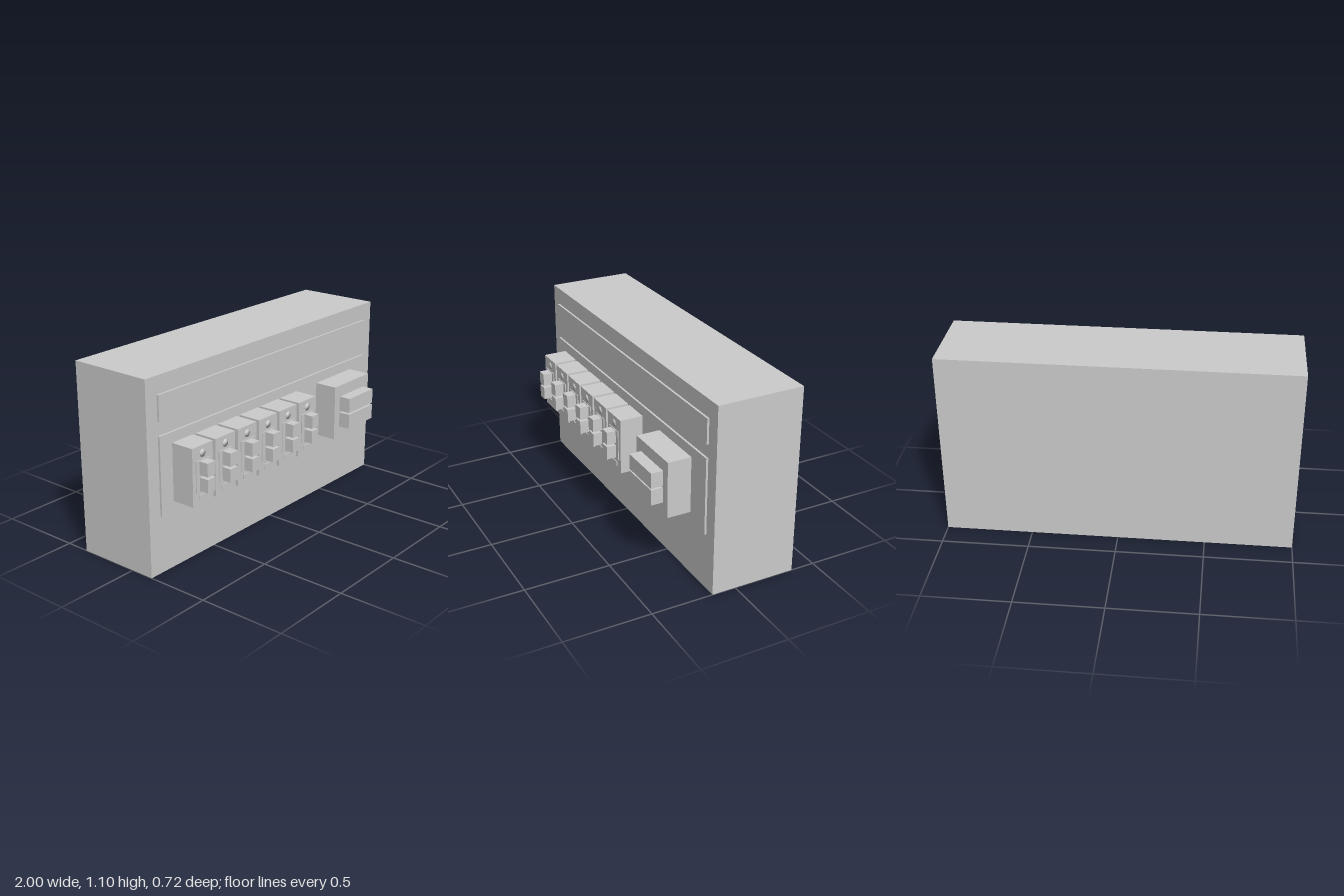
import * as THREE from 'three';

const material = new THREE.MeshStandardMaterial({ color: 0xcccccc });

// Box given by its limits on each axis
function block(parent, name, [x0, x1], [y0, y1], [z0, z1]) {
  const mesh = new THREE.Mesh(new THREE.BoxGeometry(x1 - x0, y1 - y0, z1 - z0), material);
  mesh.position.set((x0 + x1) / 2, (y0 + y1) / 2, (z0 + z1) / 2);
  mesh.name = name;
  parent.add(mesh);
  return mesh;
}

// Nearly flush lamp lens: flattened dome that keeps its rounded shading
function lampGeometry() {
  const geometry = new THREE.SphereGeometry(0.022, 24, 16);
  geometry.attributes.position.applyMatrix4(new THREE.Matrix4().makeScale(1, 1, 0.09));
  return geometry;
}

export function createModel() {
  const model = new THREE.Group();
  model.name = 'breakerPanel';
  const face = 0.14, plate = 0.152, front = 0.29;

  // Cabinet and its raised plates
  block(model, 'cabinet', [-1, 1], [0, 1.1], [-0.36, face]);
  block(model, 'headerPlate', [-0.92, 0.92], [0.855, 1.0], [face, plate]);
  block(model, 'breakerPlate', [-0.92, 0.92], [0.33, 0.777], [face, plate]);

  // Thin label strip standing just off the cabinet
  const strip = new THREE.Mesh(
    new THREE.PlaneGeometry(1.7, 0.058),
    new THREE.MeshStandardMaterial({ color: 0xcccccc, side: THREE.DoubleSide })
  );
  strip.name = 'labelStrip';
  strip.position.set(0, 0.203, 0.153);
  model.add(strip);

  // Row of six small breakers
  const lens = lampGeometry();
  for (let i = 0; i < 6; i++) {
    const breaker = new THREE.Group();
    breaker.name = 'breaker' + (i + 1);
    breaker.position.x = -0.751 + i * 0.18;
    block(breaker, 'breakerBody', [-0.079, 0.079], [0.39, 0.717], [plate, front]);
    block(breaker, 'switchBezel', [-0.055, 0.055], [0.465, 0.64], [front, 0.295]);
    block(breaker, 'upperSwitch', [-0.03, 0.03], [0.56, 0.636], [front, 0.35]);
    block(breaker, 'lowerSwitch', [-0.03, 0.03], [0.47, 0.546], [front, 0.35]);
    block(breaker, 'ratingTag', [-0.035, 0.035], [0.418, 0.445], [front, 0.295]);
    const lamp = new THREE.Mesh(lens, material);
    lamp.name = 'lamp';
    lamp.position.set(0, 0.673, front);
    breaker.add(lamp);
    model.add(breaker);
  }

  // Wide main breaker
  const main = new THREE.Group();
  main.name = 'mainBreaker';
  main.position.x = 0.599;
  block(main, 'mainBody', [-0.174, 0.174], [0.39, 0.717], [plate, front]);
  block(main, 'mainUpperSwitch', [-0.123, 0.123], [0.558, 0.647], [front, 0.36]);
  block(main, 'mainLowerSwitch', [-0.123, 0.123], [0.458, 0.548], [front, 0.36]);
  model.add(main);

  return model;
}
